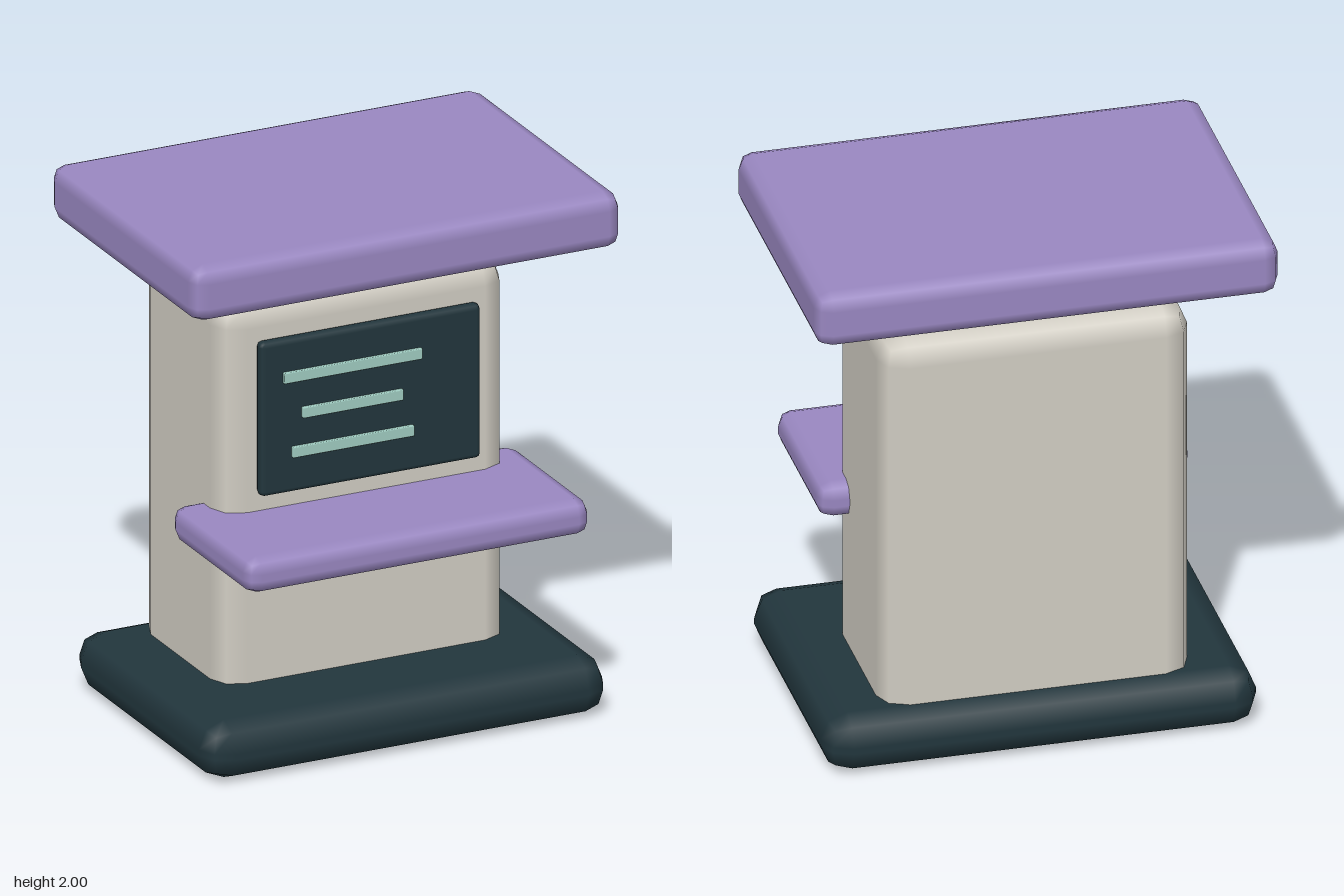
import * as THREE from 'three';
import { RoundedBoxGeometry } from 'three/addons/geometries/RoundedBoxGeometry.js';

const material = (name, color) => new THREE.MeshStandardMaterial({ name, color });

export function createModel() {
  const model = new THREE.Group();
  model.name = 'kiosk';
  const purple = material('purple', 0x9a88c2);
  const cream = material('cream', 0xd2cec4);
  const dark = material('dark teal', 0x22363d);
  const mint = material('mint', 0xa0cdc2);

  // Chamfer-rounded box given by its min and max on each axis
  function block(name, mat, [x0, x1], [y0, y1], [z0, z1], radius) {
    const geometry = new RoundedBoxGeometry(x1 - x0, y1 - y0, z1 - z0, 1, radius);
    const mesh = new THREE.Mesh(geometry, mat);
    mesh.name = name;
    mesh.position.set((x0 + x1) / 2, (y0 + y1) / 2, (z0 + z1) / 2);
    model.add(mesh);
  }

  // Main structure
  block('base', dark, [-0.805, 0.805], [0, 0.222], [-0.577, 0.573], 0.1);
  block('body', cream, [-0.575, 0.575], [0.06, 1.685], [-0.48, 0.2], 0.1);
  block('shelf', purple, [-0.687, 0.687], [0.742, 0.88], [-0.007, 0.643], 0.055);
  block('roof', purple, [-0.858, 0.858], [1.785, 2], [-0.643, 0.552], 0.06);

  // Display panel with three raised lines
  block('screen', dark, [-0.44, 0.44], [0.943, 1.537], [0.19, 0.242], 0.02);
  [[-0.355, 0.198, 1.394], [-0.28, 0.122, 1.249], [-0.32, 0.166, 1.103]].forEach(([x0, x1, y], i) =>
    block('screenLine' + (i + 1), mint, [x0, x1], [y - 0.021, y + 0.021], [0.24, 0.258], 0.004));

  return model;
}
